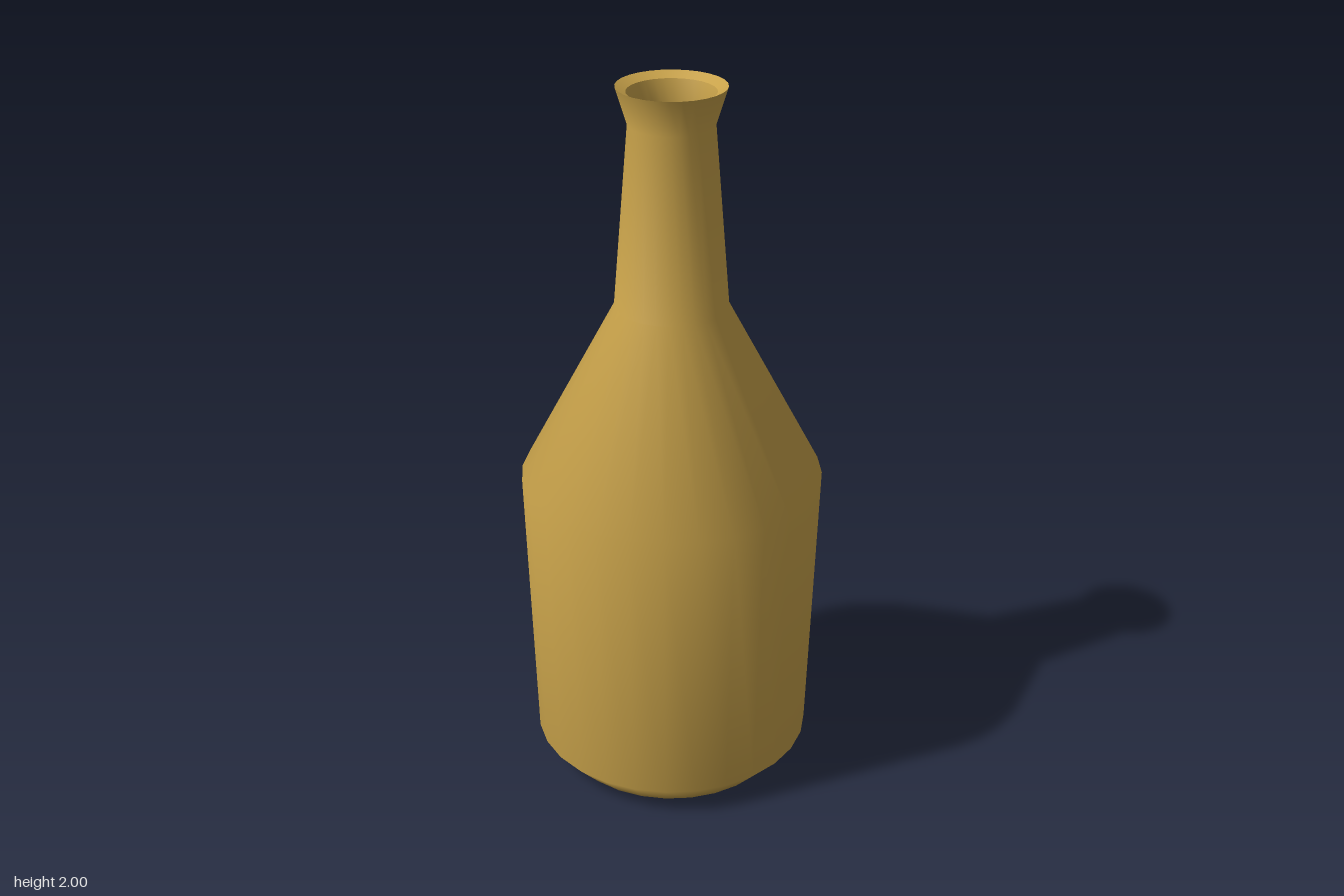
import * as THREE from 'three';

const SEGMENTS = 28;

// Lathe a list of [radius, height] pairs with smooth normals
function lathe(name, profile, material) {
  const points = profile.map(([r, y]) => new THREE.Vector2(r, y));
  const mesh = new THREE.Mesh(new THREE.LatheGeometry(points, SEGMENTS), material);
  mesh.name = name;
  return mesh;
}

export function createModel() {
  const group = new THREE.Group();
  group.name = 'bottle';
  const amber = new THREE.MeshStandardMaterial({ color: 0xc8a24a });
  amber.name = 'amber';

  // Outer shell: base, chamfer, body, shoulder, neck and flared lip
  group.add(lathe('outerShell', [
    [0, 0], [0.32, 0], [0.395, 0.08], [0.42, 0.9],
    [0.155, 1.4], [0.115, 1.9], [0.146, 2],
  ], amber));

  // Rim dips slightly towards the mouth
  group.add(lathe('rim', [[0.146, 2], [0.118, 1.985]], amber));

  // Inner wall, listed downwards so that it faces the hollow
  group.add(lathe('innerWall', [
    [0.118, 1.985], [0.095, 1.9], [0.13, 1.4], [0.39, 0.89], [0.365, 0.09], [0.31, 0.03],
  ], amber));

  // Flat inside floor
  group.add(lathe('innerFloor', [[0.31, 0.03], [0, 0.03]], amber));

  return group;
}
